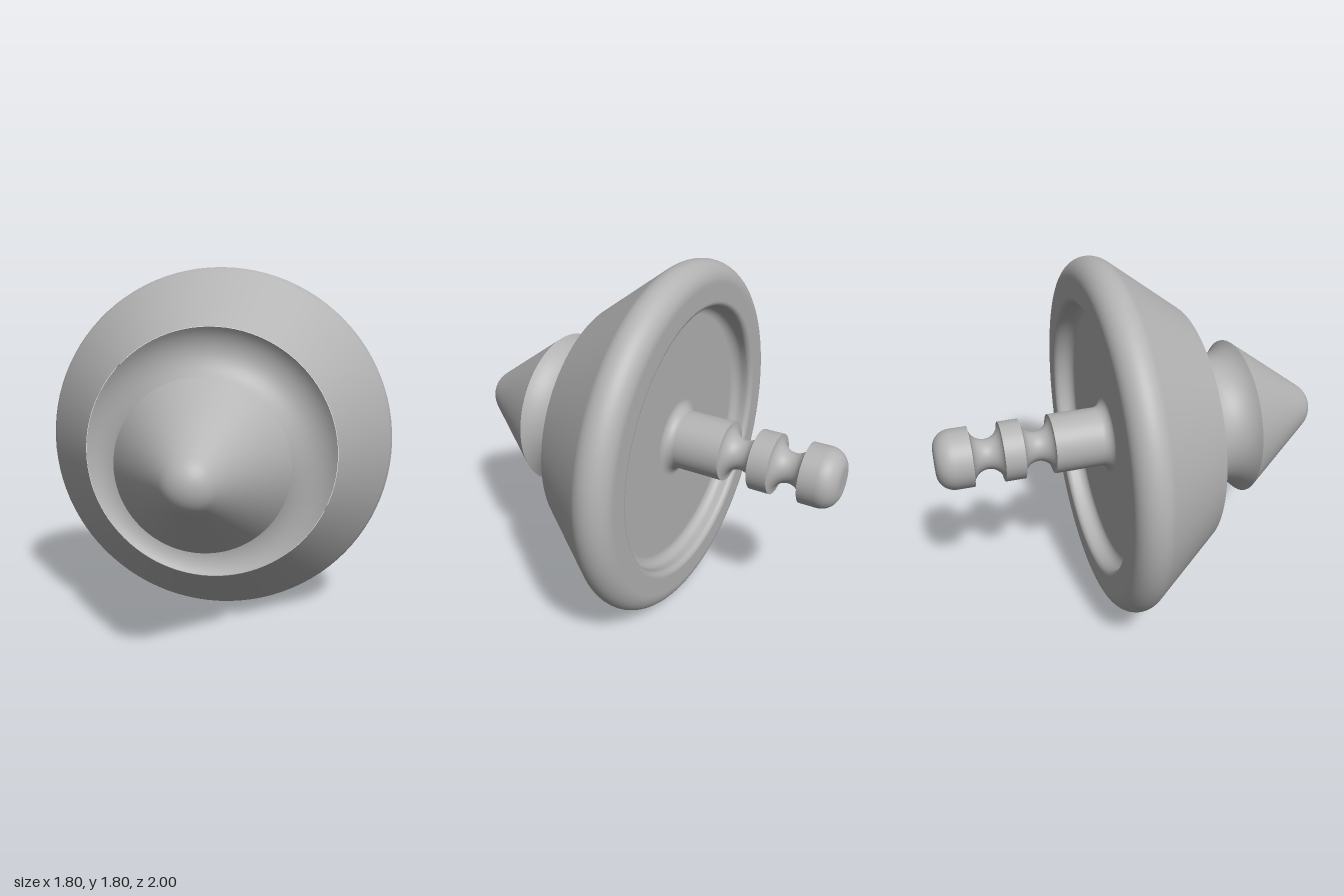
import * as THREE from 'three';

// Points of a circular arc in (radius, z), angles in degrees
function arc(r, z, size, from, to, steps = 14) {
  return Array.from({ length: steps + 1 }, (_, i) => {
    const a = THREE.MathUtils.degToRad(from + (to - from) * i / steps);
    return [Math.max(0, r + size * Math.cos(a)), z + size * Math.sin(a)];
  });
}

export function createModel() {
  const top = new THREE.Group();
  top.name = 'spinningTop';
  const grey = new THREE.MeshStandardMaterial({ color: 0xb3b3b3 });
  grey.name = 'grey';

  // Turn a profile, ordered from back to front, about the z axis
  function turn(name, profile) {
    const points = profile.map(([r, z]) => new THREE.Vector2(r, z));
    const geometry = new THREE.LatheGeometry(points, 96).rotateX(Math.PI / 2);
    const mesh = new THREE.Mesh(geometry, grey);
    mesh.name = name;
    mesh.position.y = 0.9;
    top.add(mesh);
  }

  // Handle: rounded knob, two grooves and a bead between them
  turn('handleKnob', [[0, -1], ...arc(0.06, -0.91, 0.09, -90, 0), [0.15, -0.825]]);
  turn('handleRearGroove', arc(0.15, -0.75, 0.075, -90, -270, 24));
  turn('handleBead', [[0.15, -0.675], [0.15, -0.575]]);
  turn('handleFrontGroove', arc(0.15, -0.5, 0.075, -90, -270, 24));

  // Shaft flares into the recessed back, which rises to the rim
  turn('shaftAndRecess', [
    [0.15, -0.425],
    ...arc(0.2, -0.19, 0.05, 180, 90),
    [0.21, -0.14], [0.62, -0.14],
    ...arc(0.63, -0.19, 0.05, 90, 0),
    ...arc(0.71, -0.215, 0.03, 180, 270),
    [0.72, -0.245], [0.76, -0.245],
  ]);

  // Rounded rim and sloping body
  turn('body', [
    [0.76, -0.245], [0.79, -0.245],
    ...arc(0.8, -0.145, 0.1, -90, 36.5, 24),
    [0.875, -0.079], [0.615, 0.265],
  ]);

  // Concave neck and pointed nose
  turn('neck', arc(0.51, 0.41, 0.177, -54.5, -232.8, 32));
  turn('nose', [[0.404, 0.55], [0.12, 0.936], ...arc(0, 0.857, 0.143, 36.5, 90)]);

  return top;
}
